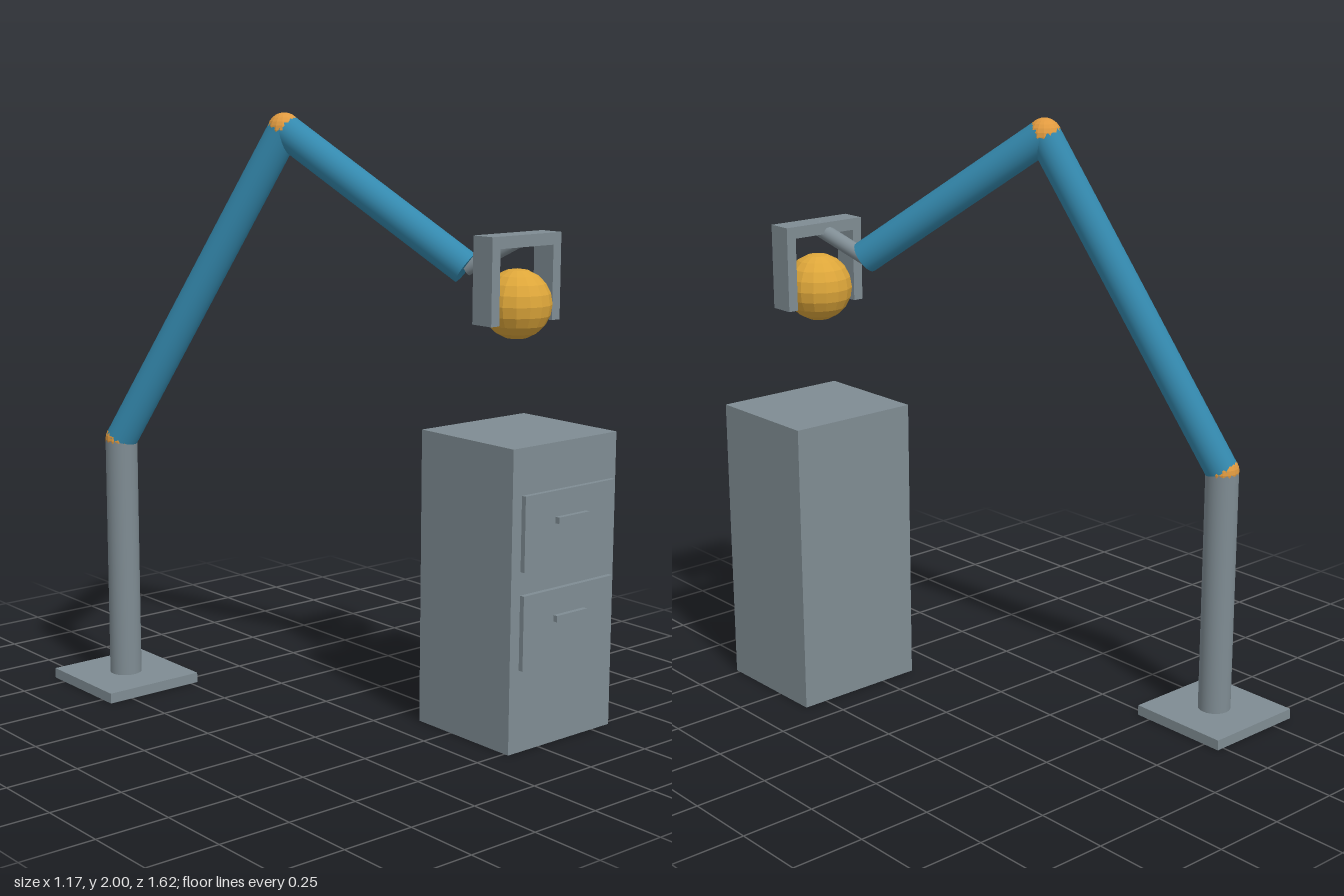
import * as THREE from 'three';

const V = (x, y, z) => new THREE.Vector3(x, y, z);

export function createModel() {
  const group = new THREE.Group();
  const mat = (name, color) => {
    const m = new THREE.MeshStandardMaterial({ color });
    m.name = name;
    return m;
  };
  const steel = mat('steel grey', 0x7f8c93);
  const blue = mat('arm blue', 0x3489ae);
  const orange = mat('joint orange', 0xe09a40);
  const gold = mat('ball gold', 0xdda63a);

  const add = (name, geometry, material) => {
    const mesh = new THREE.Mesh(geometry, material);
    mesh.name = name;
    group.add(mesh);
    return mesh;
  };
  // Box given by its lowest and highest corners
  const box = (name, a, b) => {
    const mesh = add(name, new THREE.BoxGeometry(b.x - a.x, b.y - a.y, b.z - a.z), steel);
    mesh.position.copy(a).add(b).multiplyScalar(0.5);
  };
  // Round rod between two points
  const rod = (name, a, b, radius, material) => {
    const dir = b.clone().sub(a);
    const mesh = add(name, new THREE.CylinderGeometry(radius, radius, dir.length(), 24), material);
    mesh.position.copy(a).add(b).multiplyScalar(0.5);
    mesh.quaternion.setFromUnitVectors(V(0, 1, 0), dir.normalize());
  };
  // Faceted ball
  const ball = (name, center, radius, rows, material) => {
    const geometry = new THREE.SphereGeometry(radius, 16, rows).toNonIndexed();
    geometry.computeVertexNormals();
    add(name, geometry, material).position.copy(center);
  };

  const foot = V(-0.405, 0.035, -0.629);
  const shoulder = V(-0.405, 0.875, -0.629);
  const elbow = V(-0.083, 1.944, -0.115);
  const wrist = V(0.24, 1.512, 0.413);
  const grip = V(0.333, 1.607, 0.553);

  // Stand
  box('basePlate', V(-0.586, 0, -0.81), V(-0.224, 0.035, -0.448));
  rod('column', foot, shoulder, 0.055, steel);

  // Jointed arm
  ball('shoulderJoint', shoulder, 0.056, 12, orange);
  rod('upperArm', shoulder, elbow, 0.055, blue);
  ball('elbowJoint', elbow, 0.056, 12, orange);
  rod('forearm', elbow, wrist, 0.055, blue);
  rod('wristRod', wrist, grip, 0.026, steel);

  // Gripper holding the ball
  box('gripperBar', V(0.18, 1.588, 0.51), V(0.486, 1.627, 0.596));
  for (const side of [-1, 1]) {
    const x = grip.x + side * 0.1355;
    box(side < 0 ? 'rightFinger' : 'leftFinger', V(x - 0.0175, 1.345, 0.51), V(x + 0.0175, 1.588, 0.596));
  }
  ball('heldBall', V(0.333, 1.403, 0.553), 0.114, 10, gold);

  // Cabinet with two drawers, fronts standing slightly proud
  box('cabinet', V(0.118, 0, 0.347), V(0.583, 0.99, 0.767));
  for (const y of [0.4, 0.72]) {
    box('drawerFront', V(0.148, y - 0.122, 0.777), V(0.553, y + 0.122, 0.794));
    box('drawerHandle', V(0.282, y + 0.017, 0.794), V(0.42, y + 0.038, 0.81));
  }

  return group;
}
